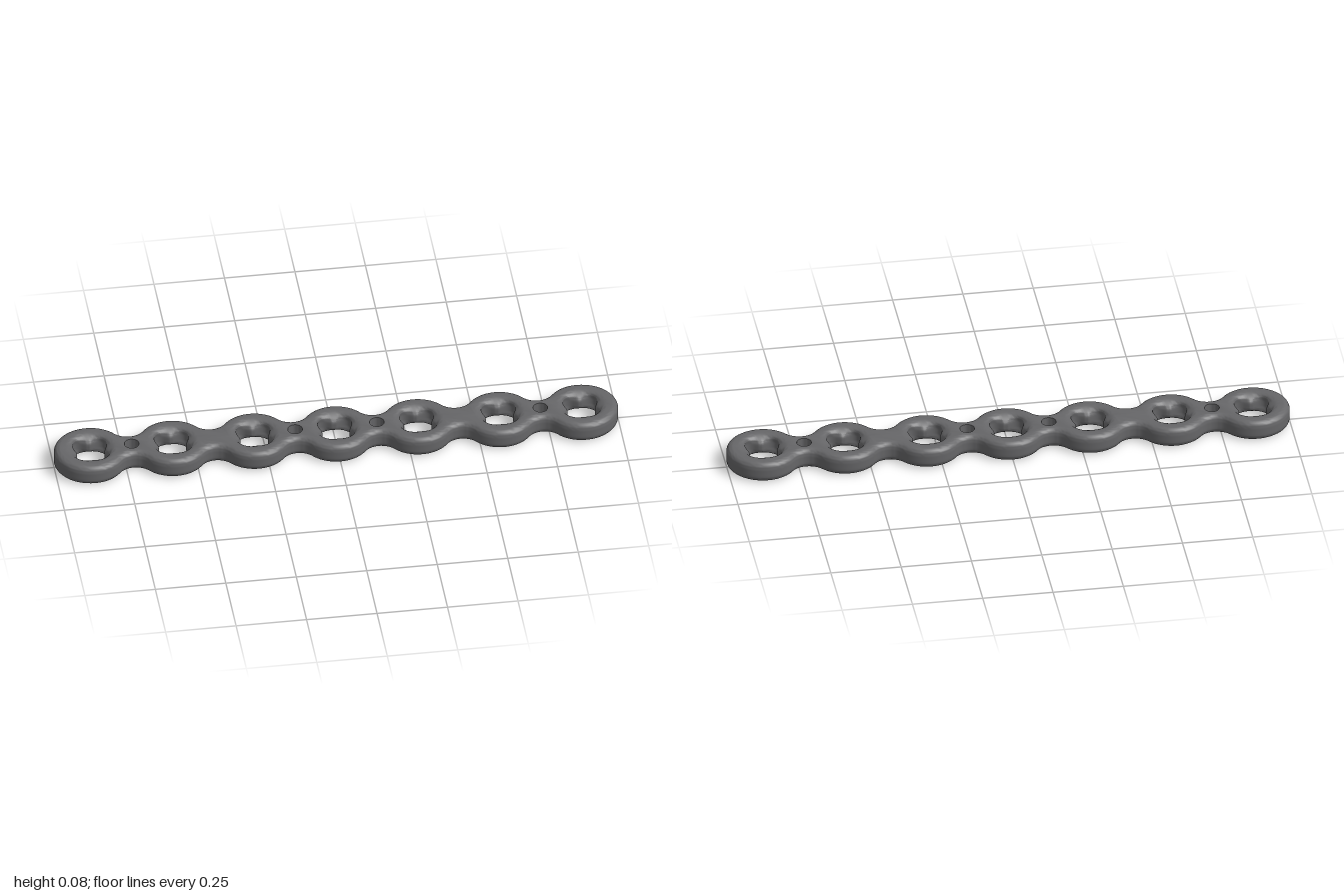
import * as THREE from 'three';
import { toCreasedNormals } from 'three/addons/utils/BufferGeometryUtils.js';

const COUNT = 7, STEP = 0.29, RING = 0.125, NECK = 0.055;
const HEIGHT = 0.076, BEVEL = 0.022, END = 0.87;
const HOLE = 0.062, LOBE = 0.014, PIN = 0.026;
const ringX = Array.from({ length: COUNT }, (_, i) => (i - 3) * STEP);
const pinX = [-2.5, -0.5, 0.5, 2.5].map(k => k * STEP);

// Points along an arc, leaving out the last one so that arcs can be chained
function arc(cx, cy, r, a0, a1, n) {
  return Array.from({ length: n }, (_, i) => {
    const a = a0 + (a1 - a0) * i / n;
    return new THREE.Vector2(cx + r * Math.cos(a), cy + r * Math.sin(a));
  });
}

// Chain of circles joined by concave fillets
function outline() {
  const half = STEP / 2, PI = Math.PI;
  const f = (half * half + NECK * NECK - RING * RING) / (2 * (RING - NECK));
  const cy = NECK + f, a = Math.atan2(cy, half), pts = [];
  for (let i = COUNT - 1; i >= 0; i--) {
    const start = i === COUNT - 1 ? a - PI : a;
    const end = i === 0 ? 2 * PI - a : PI - a;
    pts.push(...arc(ringX[i], 0, RING, start, end, i % (COUNT - 1) ? 20 : 48));
    if (i > 0) pts.push(...arc(ringX[i] - half, cy, f, -a, a - PI, 14));
  }
  for (let i = 0; i < COUNT - 1; i++) {
    if (i > 0) pts.push(...arc(ringX[i], 0, RING, PI + a, 2 * PI - a, 20));
    pts.push(...arc(ringX[i] + half, -cy, f, PI - a, a, 14));
  }
  // The two end rings reach slightly further out
  for (const p of pts) {
    const over = Math.abs(p.x) - END;
    if (over > 0) p.x = Math.sign(p.x) * (END + over * 0.13 / RING);
  }
  return pts;
}

// Turns the round hole walls into four-lobed screw seats and straight pin holes
function shapeHoles(geometry) {
  const pos = geometry.attributes.position;
  for (let i = 0; i < pos.count; i++) {
    const x = pos.getX(i), y = pos.getY(i), z = pos.getZ(i);
    const set = (cx, r, d) => pos.setXYZ(i, cx + (x - cx) * r / d, y, z * r / d);
    for (const cx of ringX) {
      const d = Math.hypot(x - cx, z);
      if (d > 0.095) continue;
      const v = (y - HEIGHT / 2) / (HEIGHT / 2);
      const k = THREE.MathUtils.smoothstep(1 - Math.abs(v), 0, 0.7);
      const flare = v > 0 ? 0.006 * v * v : 0;
      set(cx, d + flare - LOBE * k * Math.cos(4 * Math.atan2(z, x - cx)), d);
    }
    for (const cx of pinX) {
      const d = Math.hypot(x - cx, z);
      if (d < PIN) set(cx, PIN, d);
    }
  }
}

export function createModel() {
  const group = new THREE.Group();
  group.name = 'linkedPlate';
  const metal = new THREE.MeshStandardMaterial({ color: 0x666668 });
  metal.name = 'dark grey metal';

  const shape = new THREE.Shape(outline());
  for (const x of ringX) shape.holes.push(new THREE.Path(arc(x, 0, HOLE, 0, -2 * Math.PI, 56)));
  for (const x of pinX) shape.holes.push(new THREE.Path(arc(x, 0, 0.008, 0, -2 * Math.PI, 24)));

  // The bevel eats inward, so the outline is the widest section
  const geometry = new THREE.ExtrudeGeometry(shape, {
    depth: HEIGHT - 2 * BEVEL, steps: 4, bevelEnabled: true,
    bevelThickness: BEVEL, bevelSize: BEVEL, bevelOffset: -BEVEL, bevelSegments: 6,
  });
  geometry.translate(0, 0, BEVEL);
  geometry.rotateX(-Math.PI / 2);
  shapeHoles(geometry);

  const plate = new THREE.Mesh(toCreasedNormals(geometry, 0.7), metal);
  plate.name = 'ringChainPlate';
  group.add(plate);
  return group;
}
